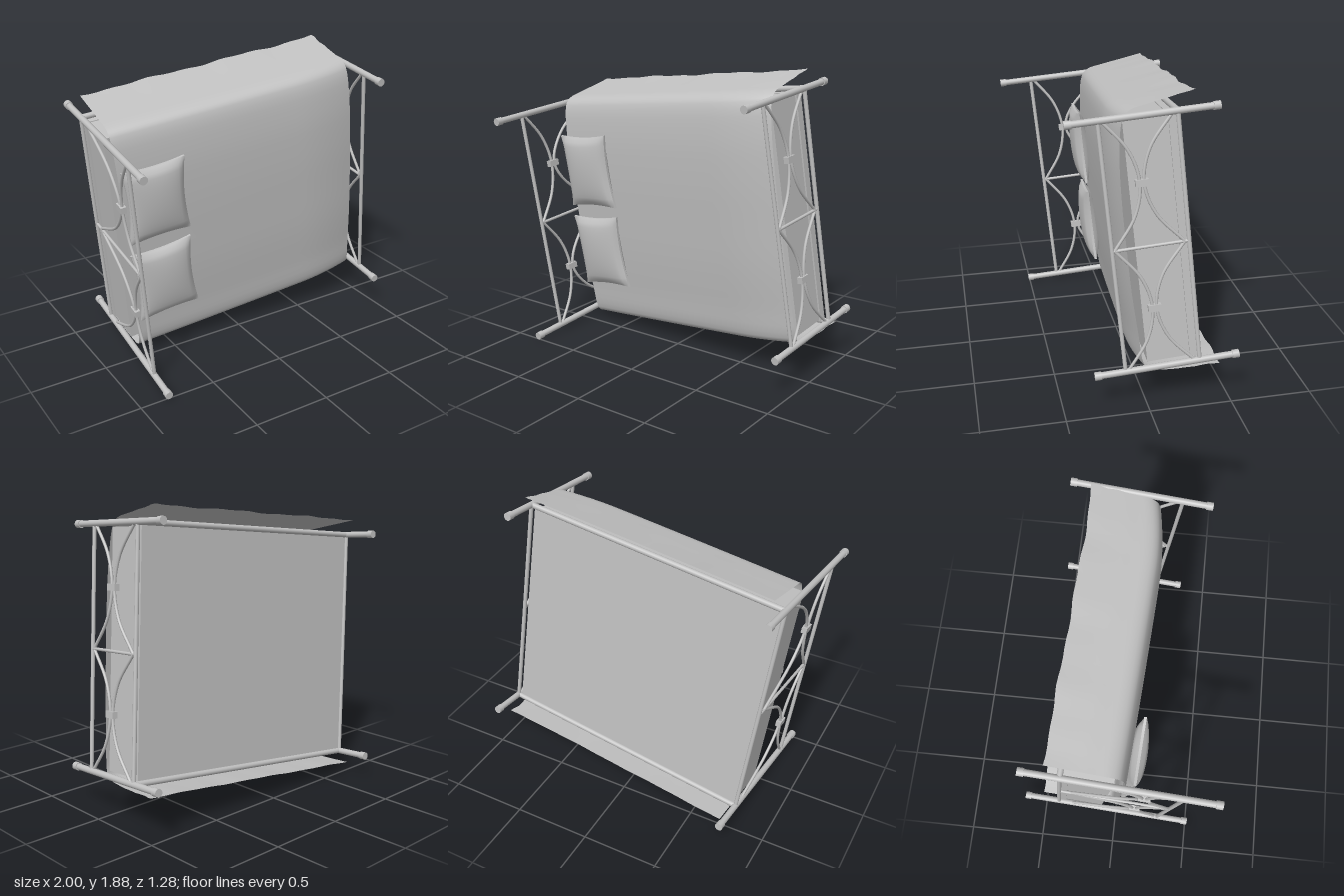
import * as THREE from 'three';

const V = (x, y, z) => new THREE.Vector3(x, y, z);

export function createModel() {
  const grey = new THREE.MeshStandardMaterial({ color: 0xc0c0c0, side: THREE.DoubleSide });
  grey.name = 'light grey';

  const model = new THREE.Group();
  model.name = 'tippedBed';

  // Bed is built upright (x = length, y = up, z = width), then tipped on its side
  const bed = new THREE.Group();
  bed.name = 'bed';
  const L = V(0.9925, 0.107, 0.058).normalize();
  const U = V(-0.049, -0.09, 0.995);
  U.addScaledVector(L, -U.dot(L)).normalize();
  const W = L.clone().cross(U);
  bed.quaternion.setFromRotationMatrix(new THREE.Matrix4().makeBasis(L, U, W));
  bed.position.set(0.025, 0.963, -0.515);
  model.add(bed);

  const add = (name, geo, parent = bed) => {
    const m = new THREE.Mesh(geo, grey);
    m.name = name;
    parent.add(m);
    return m;
  };
  const rod = (name, a, b, r, parent) => {
    const m = add(name, new THREE.CylinderGeometry(r, r, a.distanceTo(b), 14), parent);
    m.position.copy(a).lerp(b, 0.5);
    m.quaternion.setFromUnitVectors(V(0, 1, 0), b.clone().sub(a).normalize());
    return m;
  };

  const halfW = 0.747;

  // Head and foot: capped posts, rails and bowed rods held by clasps
  const endFrame = (name, x, height, rail, clasp, low) => {
    const g = new THREE.Group();
    g.name = name;
    g.position.x = x;
    bed.add(g);
    for (const s of [-1, 1]) {
      const z = s * halfW;
      rod('post', V(0, -0.01, z), V(0, height, z), 0.02, g);
      rod('postFoot', V(0, -0.012, z), V(0, 0.028, z), 0.025, g);
      rod('postCap', V(0, height - 0.04, z), V(0, height, z), 0.025, g);
      for (const [end, side] of [[rail - 0.015, 1], [low, -1]]) {
        const mid = clasp + side * 0.012;
        const pts = [0, 0.25, 0.5, 0.75, 1].map((t) => {
          const k = Math.abs(2 * t - 1);
          return V(0, mid + (end - mid) * k * k, z * t);
        });
        add('bowedRod', new THREE.TubeGeometry(new THREE.CatmullRomCurve3(pts), 28, 0.0095, 8), g);
      }
      add('clasp', new THREE.BoxGeometry(0.035, 0.075, 0.04), g).position.set(0, clasp, z / 2);
    }
    rod('topRail', V(0, rail, -halfW), V(0, rail, halfW), 0.012, g);
    rod('lowerRail', V(0, 0.225, -halfW), V(0, 0.225, halfW), 0.013, g);
    rod('middleRod', V(0, 0.225, 0), V(0, rail, 0), 0.0095, g);
  };
  endFrame('headboard', -0.8725, 1.145, 0.93, 0.735, 0.3);
  endFrame('footboard', 0.8725, 0.85, 0.667, 0.46, 0.25);

  // Side rails
  for (const s of [-1, 1]) {
    rod('sideRail', V(-0.8725, 0.225, s * halfW), V(0.8725, 0.225, s * halfW), 0.018);
  }

  // Base and mattress
  add('bedBase', new THREE.BoxGeometry(1.71, 0.05, 1.46)).position.set(-0.01, 0.25, 0);
  add('mattress', new THREE.BoxGeometry(1.69, 0.26, 1.45)).position.set(-0.01, 0.4, 0);

  // Blanket: one cross-section swept along the bed, creased at the mattress edges
  const section = new THREE.CatmullRomCurve3([
    [0.803, 0.11], [0.802, 0.28], [0.797, 0.44], [0.772, 0.575], [0.735, 0.602], [0.55, 0.615], [0.28, 0.628],
    [0, 0.63], [-0.28, 0.628], [-0.55, 0.612], [-0.735, 0.575], [-0.778, 0.53], [-0.8, 0.42], [-0.82, 0.28],
    [-0.842, 0.13],
  ].map(([z, y]) => V(0, y, z)));
  const blanket = new THREE.PlaneGeometry(1, 1, 30, 56);
  const bp = blanket.attributes.position;
  for (let i = 0; i < bp.count; i++) {
    const u = bp.getX(i) + 0.5, v = 0.5 - bp.getY(i);
    const p = section.getPoint(1 - v);
    const hang = Math.max(0, 1 - p.y / 0.45);
    const wave = Math.sin(u * 17 + v * 3) * 0.004 + Math.sin(u * 41) * 0.003;
    const droop = -0.05 * Math.max(0, (u - 0.75) / 0.25) ** 2 - 0.01 * (1 - u) ** 3;
    const x = -0.828 + u * 1.666 + hang * u ** 6 * Math.sin(v * 90) * 0.01;
    bp.setXYZ(i, x, p.y + droop * (1 - hang) + wave * hang * 1.5, p.z + wave * hang);
  }
  blanket.computeVertexNormals();
  add('blanket', blanket);

  // Two pillows with pinched edges and pointed corners
  const pillowGeo = new THREE.BoxGeometry(2, 2, 2, 16, 1, 16);
  const pp = pillowGeo.attributes.position;
  for (let i = 0; i < pp.count; i++) {
    const a = pp.getX(i), c = pp.getZ(i);
    const puff = 0.008 + 0.052 * Math.pow((1 - a * a) * (1 - c * c), 0.42);
    pp.setXYZ(i, a * 0.203 * (1 - 0.11 * (1 - c * c)), Math.sign(pp.getY(i)) * puff,
      c * 0.248 * (1 - 0.06 * (1 - a * a)));
  }
  pillowGeo.computeVertexNormals();
  for (const [z, turn] of [[-0.3, 0], [0.267, 0.03]]) {
    const p = add('pillow', pillowGeo);
    p.position.set(-0.62, 0.657, z);
    p.rotation.y = turn;
  }

  return model;
}
